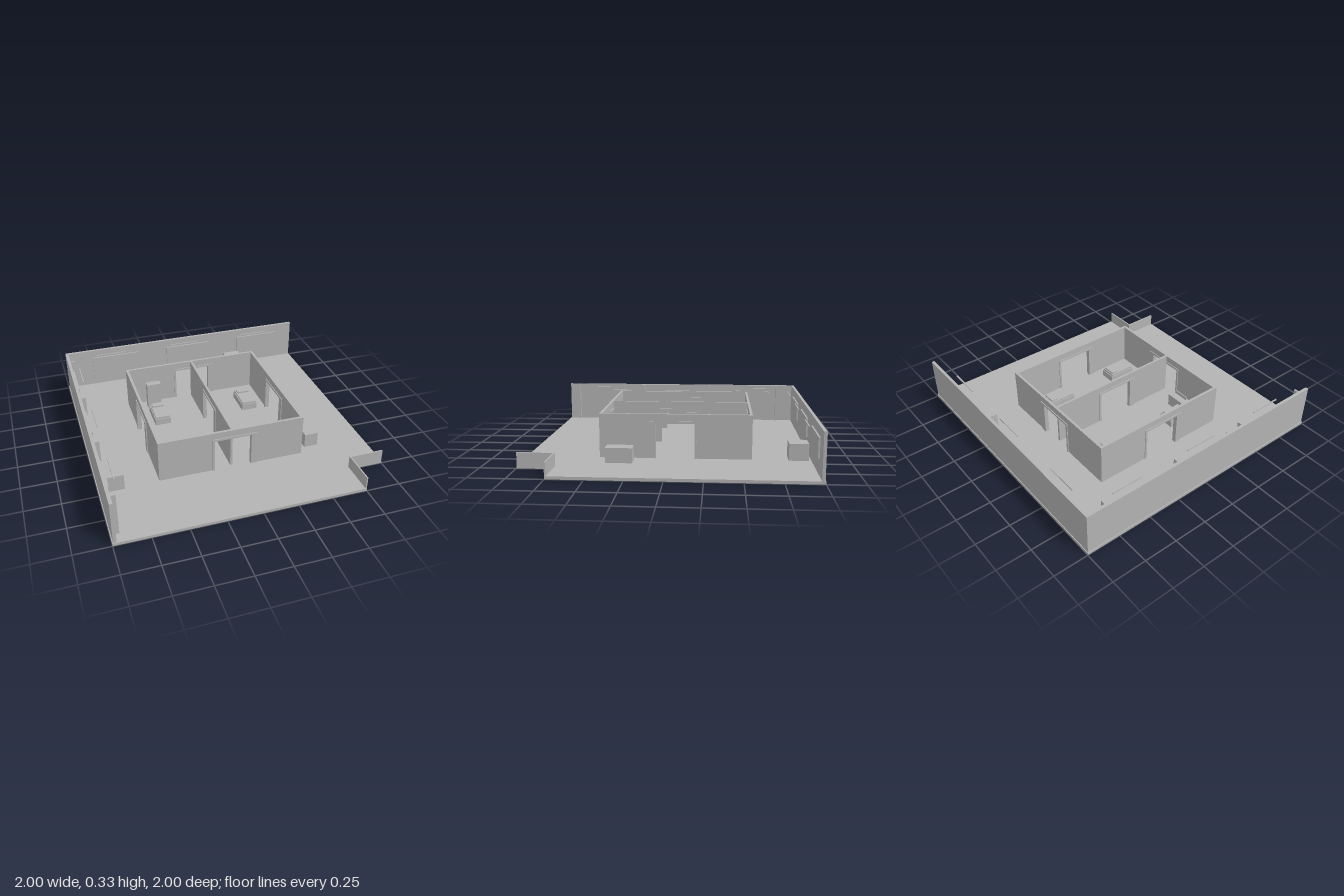
import * as THREE from 'three';

const FLOOR = 0.02, TOP = 0.33, DOOR_TOP = 0.265;
const DOOR = [-0.175, 0.095];

export function createModel() {
  const model = new THREE.Group();
  model.name = 'floorPlan';
  const plaster = new THREE.MeshStandardMaterial({ color: 0xb3b3b3 });
  plaster.name = 'plaster grey';

  // Box given by its minimum and maximum on each axis
  const box = (name, x0, x1, y0, y1, z0, z1, parent = model) => {
    const mesh = new THREE.Mesh(new THREE.BoxGeometry(x1 - x0, y1 - y0, z1 - z0), plaster);
    mesh.position.set((x0 + x1) / 2, (y0 + y1) / 2, (z0 + z1) / 2);
    mesh.name = name;
    parent.add(mesh);
    return mesh;
  };

  // Box whose long side runs along x or z; "across" is the other horizontal axis
  const run = (name, axis, a0, a1, y0, y1, c0, c1, parent = model) =>
    axis === 'x' ? box(name, a0, a1, y0, y1, c0, c1, parent) : box(name, c0, c1, y0, y1, a0, a1, parent);

  // Floor slab with a notched front corner
  const outline = new THREE.Shape(
    [[-1, -1], [0.75, -1], [0.75, -0.75], [1, -0.75], [1, 1], [-1, 1]].map(([x, y]) => new THREE.Vector2(x, y)));
  const slab = new THREE.ExtrudeGeometry(outline, { depth: FLOOR, bevelEnabled: false });
  slab.rotateX(-Math.PI / 2);
  const floor = new THREE.Mesh(slab, plaster);
  floor.name = 'floor';
  model.add(floor);

  // Outer walls and the low walls around the notch
  box('leftOuterWall', -0.995, -0.972, FLOOR, TOP, -0.995, 0.995);
  box('backOuterWall', -0.972, 0.997, FLOOR, TOP, -0.995, -0.974);
  box('lowWallSide', 0.74, 0.75, FLOOR, 0.11, 0.74, 0.997);
  box('lowWallFront', 0.75, 0.997, FLOOR, 0.11, 0.74, 0.75);

  // Pilasters between the bays of the side wall
  for (const z of [-0.84, -0.255, 0.33, 0.912])
    box('pilaster', -0.972, -0.94, FLOOR, TOP, z - 0.007, z + 0.007);

  // Three display bays on each outer wall: panel, hanging light bar, ledge
  for (let i = 0; i < 3; i++) {
    const c = (i - 1) * 0.625;
    for (const axis of ['x', 'z']) {
      run('displayPanel', axis, c - 0.155 + 0.08 * (i - 1) * 0.1 + 0.01, c + 0.235, 0.13, DOOR_TOP, -0.974, -0.963);
      run('lightBar', axis, c - 0.12, c + 0.118, 0.304, 0.312, -0.922, -0.914);
    }
    box('ledge', -0.972, -0.95, 0.074, 0.084, c - 0.143, c + 0.14);
    box('ledgeBoard', -0.972, -0.957, 0.084, 0.28, c - 0.143, c + 0.14);
  }

  // Room wall with a framed doorway near its middle
  const doorWall = (name, axis, a0, a1, c0, c1) => {
    const wall = new THREE.Group();
    wall.name = name;
    model.add(wall);
    run('wallLeftOfDoor', axis, a0, DOOR[0], FLOOR, TOP, c0, c1, wall);
    run('wallRightOfDoor', axis, DOOR[1], a1, FLOOR, TOP, c0, c1, wall);
    run('wallOverDoor', axis, DOOR[0], DOOR[1], DOOR_TOP, TOP, c0, c1, wall);
    const f0 = c0 - 0.006, f1 = c1 + 0.006;
    run('doorJamb', axis, -0.19, DOOR[0], FLOOR, DOOR_TOP, f0, f1, wall);
    run('doorPost', axis, DOOR[1], 0.14, FLOOR, DOOR_TOP, f0, f1, wall);
    run('doorHead', axis, -0.19, 0.14, DOOR_TOP, 0.28, f0, f1, wall);
  };
  doorWall('roomFrontWall', 'x', -0.576, 0.486, 0.465, 0.485);
  doorWall('roomBackWall', 'x', -0.576, 0.486, -0.57, -0.552);
  doorWall('roomLeftWall', 'z', -0.552, 0.465, -0.576, -0.556);
  doorWall('roomRightWall', 'z', -0.552, 0.465, 0.466, 0.486);
  doorWall('partition', 'z', -0.552, 0.465, -0.053, -0.036);

  // Four beds with mattress and pillow
  for (const x of [-0.378, 0.331])
    for (const z of [-0.295, 0.288]) {
      const bed = new THREE.Group();
      bed.name = 'bed';
      bed.position.set(x, 0, z);
      model.add(bed);
      box('bedBase', -0.06, 0.06, FLOOR, 0.07, -0.106, 0.106, bed);
      box('mattress', -0.054, 0.054, 0.07, 0.085, -0.1, 0.1, bed);
      box('pillow', -0.046, 0.046, 0.085, 0.097, -0.092, -0.047, bed);
    }

  // Cabinet and desk in the left-hand room
  box('cabinet', -0.435, -0.325, FLOOR, 0.225, -0.505, -0.457);
  box('cabinetBack', -0.42, -0.34, FLOOR, 0.23, -0.511, -0.505);
  box('desk', -0.37, -0.22, FLOOR, 0.115, 0.35, 0.422);
  box('deskScreen', -0.355, -0.235, 0.115, 0.14, 0.403, 0.41);

  // Plinths in the open hall
  box('sidePlinth', -0.953, -0.82, FLOOR, 0.138, 0.362, 0.498);
  box('backPlinth', 0.363, 0.498, FLOOR, 0.138, -0.955, -0.82);
  box('frontPlinth', 0.54, 0.642, FLOOR, 0.124, 0.24, 0.424);

  return model;
}
